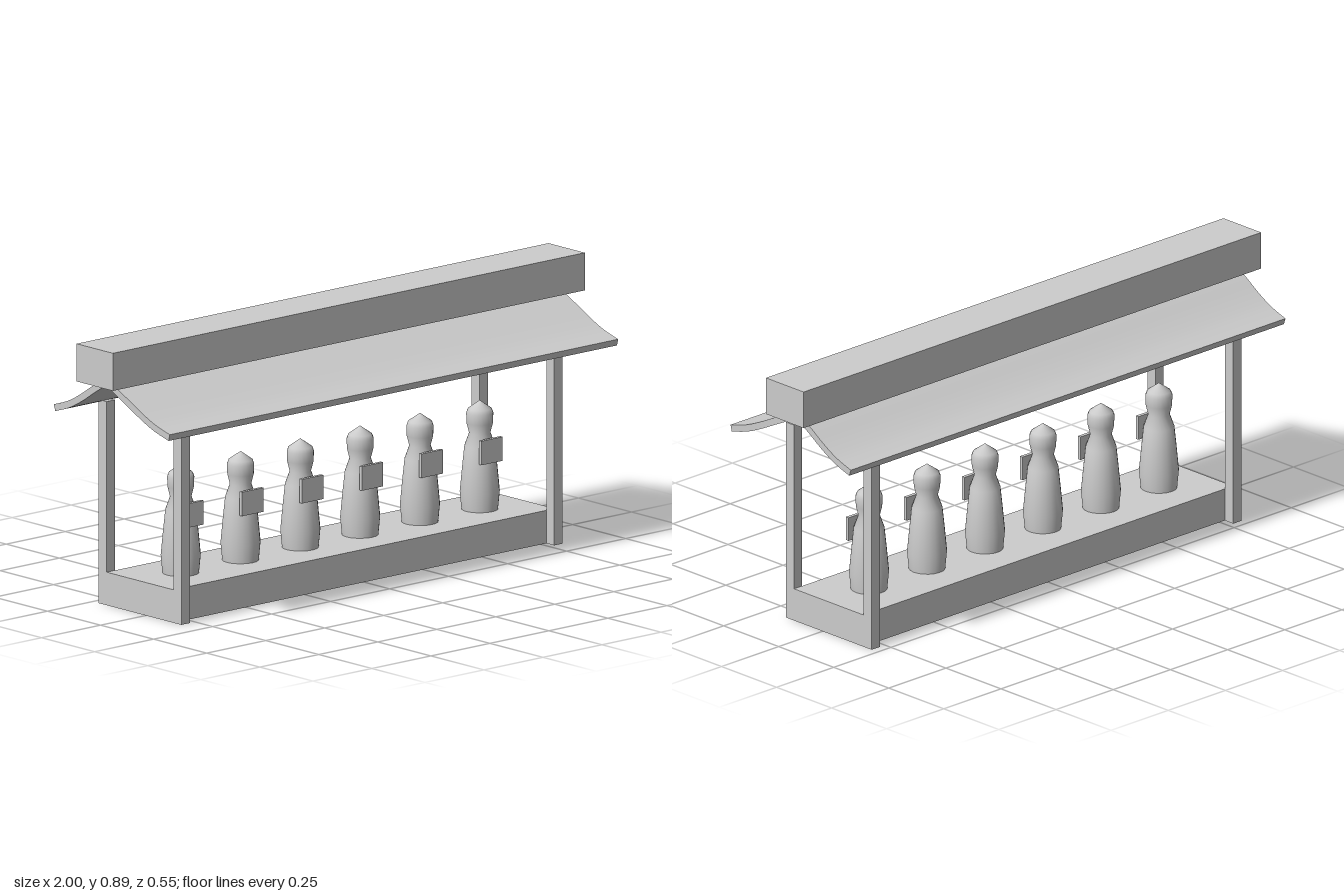
import * as THREE from 'three';
import { toCreasedNormals } from 'three/addons/utils/BufferGeometryUtils.js';

export function createModel() {
  const group = new THREE.Group();
  const grey = new THREE.MeshStandardMaterial({ color: 0xcccccc });
  grey.name = 'plain grey';
  const midZ = -0.028;

  const add = (name, geometry, x = 0, y = 0, z = 0) => {
    const mesh = new THREE.Mesh(geometry, grey);
    mesh.name = name;
    mesh.position.set(x, y, z);
    group.add(mesh);
    return mesh;
  };
  // Box given by its lower and upper corners
  const box = (name, [x0, y0, z0], [x1, y1, z1]) =>
    add(name, new THREE.BoxGeometry(x1 - x0, y1 - y0, z1 - z0),
      (x0 + x1) / 2, (y0 + y1) / 2, (z0 + z1) / 2);

  // Base between the front and back posts
  box('base', [-0.808, 0, -0.185], [0.808, 0.107, 0.13]);

  // Four corner posts
  for (const x of [-0.79, 0.79]) {
    box('frontPost', [x - 0.018, 0, 0.13], [x + 0.018, 0.66, 0.167]);
    box('backPost', [x - 0.018, 0, -0.223], [x + 0.018, 0.66, -0.185]);
  }

  // Ridge beam
  box('ridgeBeam', [-1, 0.77, -0.113], [1, 0.892, 0.058]);

  // Roof: a curved slab on each side of the apex, as one section (z, y)
  const apex = [midZ, 0.777];
  const slopes = [
    [apex, [0.081, 0.723], [0.135, 0.696], [0.2, 0.668], [0.27, 0.6485]],
    [apex, [-0.09, 0.739], [-0.145, 0.703], [-0.205, 0.671], [-0.27, 0.6485]],
  ];
  const half = 0.011;
  const sides = slopes.map((points, s) => {
    const curve = new THREE.SplineCurve(points.map((p) => new THREE.Vector2(...p)));
    const top = [], bottom = [];
    for (let i = 0; i <= 12; i++) {
      const p = curve.getPoint(i / 12);
      const t = curve.getTangent(i / 12);
      const n = i === 0
        ? new THREE.Vector2(0, 1.15)
        : new THREE.Vector2(-t.y, t.x).multiplyScalar(s === 0 ? 1 : -1);
      top.push(p.clone().addScaledVector(n, half));
      bottom.push(p.clone().addScaledVector(n, -half));
    }
    return { top, bottom };
  });
  const [front, back] = sides;
  const outline = [
    ...front.top.slice().reverse(), ...back.top.slice(1),
    ...back.bottom.slice().reverse(), ...front.bottom.slice(1),
  ];
  const roof = new THREE.ExtrudeGeometry(new THREE.Shape(outline), { depth: 1.9, bevelEnabled: false });
  roof.rotateY(-Math.PI / 2);
  add('roof', toCreasedNormals(roof, 0.5), 0.948);

  // Row of six turned figures, each with a placard on its chest
  const profile = [
    [0, 0.107], [0.058, 0.107], [0.0635, 0.165], [0.056, 0.245], [0.049, 0.312],
    [0.034, 0.354], [0.042, 0.386], [0.043, 0.418], [0.038, 0.432], [0, 0.459],
  ].map((p) => new THREE.Vector2(...p));
  const figure = toCreasedNormals(new THREE.LatheGeometry(profile, 20), 0.7);
  const placard = new THREE.BoxGeometry(0.09, 0.078, 0.012);
  for (let i = 0; i < 6; i++) {
    const x = -0.635 + i * 0.2534;
    add('figure', figure, x, 0, midZ);
    add('placard', placard, x, 0.304, 0.024);
  }
  return group;
}
